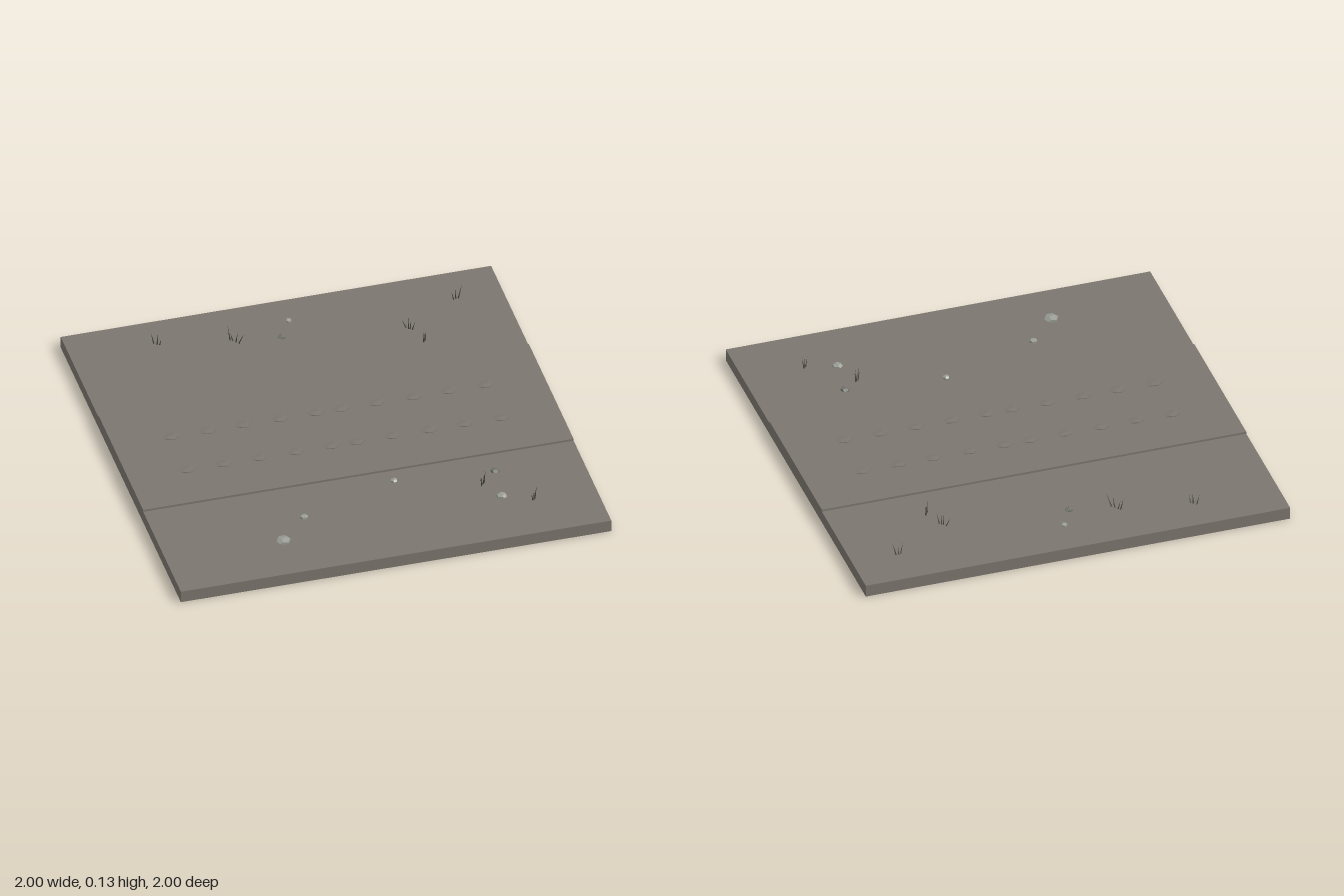
import * as THREE from 'three';

const mat = (name, color) => {
  const m = new THREE.MeshStandardMaterial({ color });
  m.name = name;
  return m;
};

// Faceted pebble, flattened to the given half sizes
function pebble(name, material, x, y, z, rx, ry, rz, turn) {
  const geo = new THREE.DodecahedronGeometry(1, 0);
  geo.rotateY(turn);
  geo.scale(rx, ry, rz);
  const mesh = new THREE.Mesh(geo, material);
  mesh.name = name;
  mesh.position.set(x, y, z);
  return mesh;
}

// Thin three-sided blade from a foot point to a tip point
function blade(material, foot, tip) {
  const dir = tip.clone().sub(foot);
  const geo = new THREE.ConeGeometry(0.004, dir.length(), 3).toNonIndexed();
  geo.computeVertexNormals();
  const mesh = new THREE.Mesh(geo, material);
  mesh.name = 'grassBlade';
  mesh.position.copy(foot).add(tip).multiplyScalar(0.5);
  mesh.quaternion.setFromUnitVectors(new THREE.Vector3(0, 1, 0), dir.normalize());
  return mesh;
}

export function createModel() {
  const model = new THREE.Group();
  model.name = 'roadTile';
  const earth = mat('earth', 0x7b766e);
  const track = mat('track', 0x7b766f);
  const paleStone = mat('paleStone', 0x9a9d96);
  const darkStone = mat('darkStone', 0x73736d);
  const grass = mat('dryGrass', 0x4c4d42);

  // Ground slab
  const ground = new THREE.Mesh(new THREE.BoxGeometry(2, 0.058, 2), earth);
  ground.name = 'groundSlab';
  ground.position.y = 0.029;
  model.add(ground);

  // Raised road across the tile
  const road = new THREE.Mesh(new THREE.BoxGeometry(2, 0.012, 0.745), track);
  road.name = 'roadBed';
  road.position.y = 0.062;
  model.add(road);

  // Two rows of low wheel-track bumps
  const ruts = new THREE.Group();
  ruts.name = 'wheelTracks';
  for (const z of [-0.13, 0.13])
    for (const x of [0.06, 0.225, 0.395, 0.56, 0.73])
      for (const side of [-1, 1])
        ruts.add(pebble('trackBump', track, side * x, 0.069, z, 0.043, 0.005, 0.03, 0.3));
  model.add(ruts);

  // Loose stones: x, z, radius, material
  const stones = new THREE.Group();
  stones.name = 'stones';
  [
    [0.01, -0.83, 0.016, paleStone],
    [-0.05, -0.72, 0.019, darkStone],
    [0.14, 0.462, 0.017, paleStone],
    [-0.322, 0.618, 0.019, paleStone],
    [-0.457, 0.765, 0.034, paleStone],
    [0.598, 0.511, 0.023, darkStone],
    [0.573, 0.702, 0.025, paleStone],
  ].forEach(([x, z, r, material], i) => {
    stones.add(pebble('stone', material, x, 0.071, z, r, 0.006 + r * 0.2, r, i * 0.9));
  });
  model.add(stones);

  // Grass tufts: x, z, spread in x, spread in z, blade count
  [
    [-0.6, -0.83, 0.016, 0.014, 3],
    [-0.26, -0.757, 0.022, 0.025, 4],
    [0.782, -0.803, 0.016, -0.006, 3],
    [0.52, -0.64, 0.016, 0.016, 4],
    [0.562, -0.535, 0.01, -0.012, 3],
    [0.52, 0.58, 0.012, -0.012, 4],
    [0.71, 0.752, 0.008, -0.01, 3],
  ].forEach(([x, z, sx, sz, count], t) => {
    const tuft = new THREE.Group();
    tuft.name = 'grassTuft';
    for (let i = 0; i < count; i++) {
      const k = (2 * i) / (count - 1) - 1;
      const wobble = Math.sin(i * 2.4 + t * 1.7);
      const foot = new THREE.Vector3(x + k * sx * 0.7, 0.056, z + k * sz * 0.7 + wobble * 0.003);
      const tip = new THREE.Vector3(x + k * sx * 1.4 + wobble * 0.008, 0.113 + wobble * 0.014, z + k * sz * 1.4);
      tuft.add(blade(grass, foot, tip));
    }
    model.add(tuft);
  });

  return model;
}
